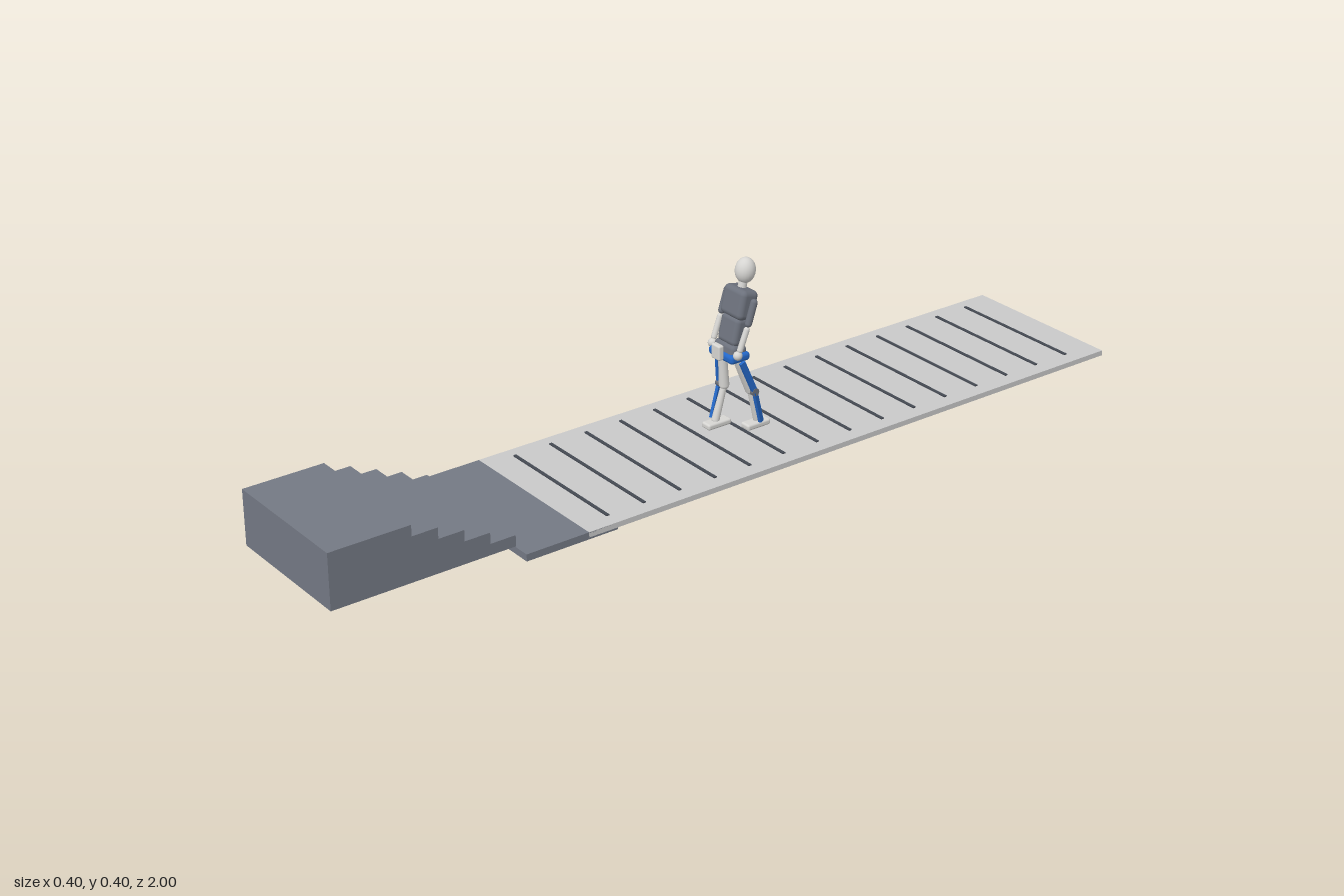
import * as THREE from 'three';
import { RoundedBoxGeometry } from 'three/addons/geometries/RoundedBoxGeometry.js';

const mat = (name, color) => new THREE.MeshStandardMaterial({ name, color });

export function createModel() {
  const model = new THREE.Group();
  model.name = 'walkwayWithFigure';
  const slate = mat('slate grey', 0x747984);
  const deckGrey = mat('deck grey', 0xc9c9c9);
  const groove = mat('dark strip', 0x454a53);
  const pale = mat('pale shell', 0xd6d5d2);
  const suit = mat('suit grey', 0x6c717c);
  const blue = mat('brace blue', 0x2468c8);

  const add = (parent, name, geo, material, x, y, z) => {
    const m = new THREE.Mesh(geo, material);
    m.name = name;
    m.position.set(x, y, z);
    parent.add(m);
    return m;
  };
  const box = (parent, name, w, h, d, material, x, y, z) =>
    add(parent, name, new THREE.BoxGeometry(w, h, d), material, x, y, z);
  const rbox = (parent, name, w, h, d, r, material, x, y, z) =>
    add(parent, name, new RoundedBoxGeometry(w, h, d, 3, r), material, x, y, z);
  const ball = (parent, name, r, material, x, y, z) =>
    add(parent, name, new THREE.SphereGeometry(r, 20, 14), material, x, y, z);

  // Lay a geometry whose long axis is y between two points
  const span = (parent, name, a, b, makeGeo, material) => {
    const p = new THREE.Vector3(...a), q = new THREE.Vector3(...b);
    const dir = q.clone().sub(p), mid = p.clone().add(q).multiplyScalar(0.5);
    const m = add(parent, name, makeGeo(dir.length()), material, mid.x, mid.y, mid.z);
    m.quaternion.setFromUnitVectors(new THREE.Vector3(0, 1, 0), dir.normalize());
    return m;
  };
  const capsule = (r) => (len) => new THREE.CapsuleGeometry(r, Math.max(len - r, 0.001), 5, 16);
  const taper = (r0, r1) => (len) => new THREE.CylinderGeometry(r0, r1, len, 18);
  const bar = (w, d) => (len) => new THREE.BoxGeometry(w, len, d);

  // Walkway deck with raised cross strips
  box(model, 'deck', 0.4, 0.012, 1.43, deckGrey, 0, 0.01, -0.285);
  for (let i = 0; i < 15; i++)
    box(model, 'strip', 0.336, 0.003, 0.007, groove, -0.002, 0.0172, -0.917 + i * 0.0912);

  // Landing slab under the end of the deck
  box(model, 'landing', 0.4, 0.0158, 0.22, slate, 0, 0.0079, 0.47);

  // Staircase: one stepped outline extruded across the width
  const stair = new THREE.Shape();
  stair.moveTo(-1, 0.018);
  for (const [i, z] of [0.58, 0.639, 0.698, 0.757, 0.816].entries()) {
    if (i === 0) stair.lineTo(-z, 0.018);
    else stair.lineTo(-z, 0.018 + i * 0.025);
    stair.lineTo(-z, 0.043 + i * 0.025);
  }
  stair.lineTo(-1, 0.143);
  const stairGeo = new THREE.ExtrudeGeometry(stair, { depth: 0.326, bevelEnabled: false });
  stairGeo.translate(0, 0, -0.163);
  stairGeo.rotateY(Math.PI / 2);
  add(model, 'staircase', stairGeo, slate, 0, 0, 0);

  // Walking figure heading towards -z
  const figure = new THREE.Group();
  figure.name = 'figure';
  model.add(figure);

  // Leaning upper body
  const torso = new THREE.Group();
  torso.name = 'torso';
  torso.position.set(0, 0.195, -0.078);
  torso.rotation.x = -0.23;
  figure.add(torso);
  rbox(torso, 'pelvis', 0.068, 0.03, 0.042, 0.01, suit, 0, 0.01, 0);
  rbox(torso, 'abdomen', 0.06, 0.064, 0.038, 0.011, suit, 0, 0.053, 0);
  rbox(torso, 'chest', 0.071, 0.066, 0.045, 0.012, suit, 0, 0.114, 0);
  add(torso, 'neck', new THREE.CylinderGeometry(0.0095, 0.0095, 0.028, 18), pale, 0, 0.154, 0);
  const head = ball(torso, 'head', 1, pale, 0, 0.184, 0);
  head.rotation.x = 0.1;
  head.scale.set(0.0225, 0.0285, 0.0225);

  // Hip belt with power pack behind
  rbox(figure, 'belt', 0.083, 0.02, 0.052, 0.008, blue, 0, 0.195, -0.078);
  rbox(figure, 'powerPack', 0.028, 0.034, 0.014, 0.004, pale, 0, 0.206, -0.047);

  // Arms
  for (const s of [-1, 1]) {
    const x = s * 0.0455;
    span(figure, 'upperArm', [x, 0.322, -0.109], [x, 0.27, -0.092], capsule(0.0078), suit);
    span(figure, 'forearm', [x, 0.264, -0.09], [s * 0.0445, 0.215, -0.071], capsule(0.0066), pale);
    ball(figure, 'hand', 0.0102, pale, s * 0.0435, 0.206, -0.067);
  }

  // Legs in mid stride, each with an outer brace: [side, knee z, ankle z, foot z]
  for (const [s, kneeZ, ankleZ, footZ] of [[1, -0.115, -0.135, -0.131], [-1, -0.085, -0.062, -0.065]]) {
    const x = s * 0.026, bx = s * 0.042;
    const hip = [x, 0.186, -0.08], knee = [x, 0.108, kneeZ], ankle = [x, 0.032, ankleZ];
    const at = (p, px) => [px, p[1], p[2]];
    span(figure, 'thigh', hip, knee, taper(0.0115, 0.0095), pale);
    ball(figure, 'knee', 0.0108, pale, ...knee);
    span(figure, 'shin', knee, ankle, taper(0.009, 0.007), pale);
    ball(figure, 'ankle', 0.0085, pale, ...ankle);
    rbox(figure, 'foot', 0.028, 0.014, 0.062, 0.005, pale, x, 0.0235, footZ);

    span(figure, 'thighBrace', at(hip, bx), at(knee, bx), bar(0.007, 0.013), blue);
    span(figure, 'shinBrace', at(knee, bx), at(ankle, s * 0.039), bar(0.007, 0.011), blue);
    const joint = add(figure, 'kneeJoint', new THREE.CylinderGeometry(0.009, 0.009, 0.01, 18), suit, s * 0.041, knee[1], kneeZ);
    joint.rotation.z = Math.PI / 2;
  }
  return model;
}
